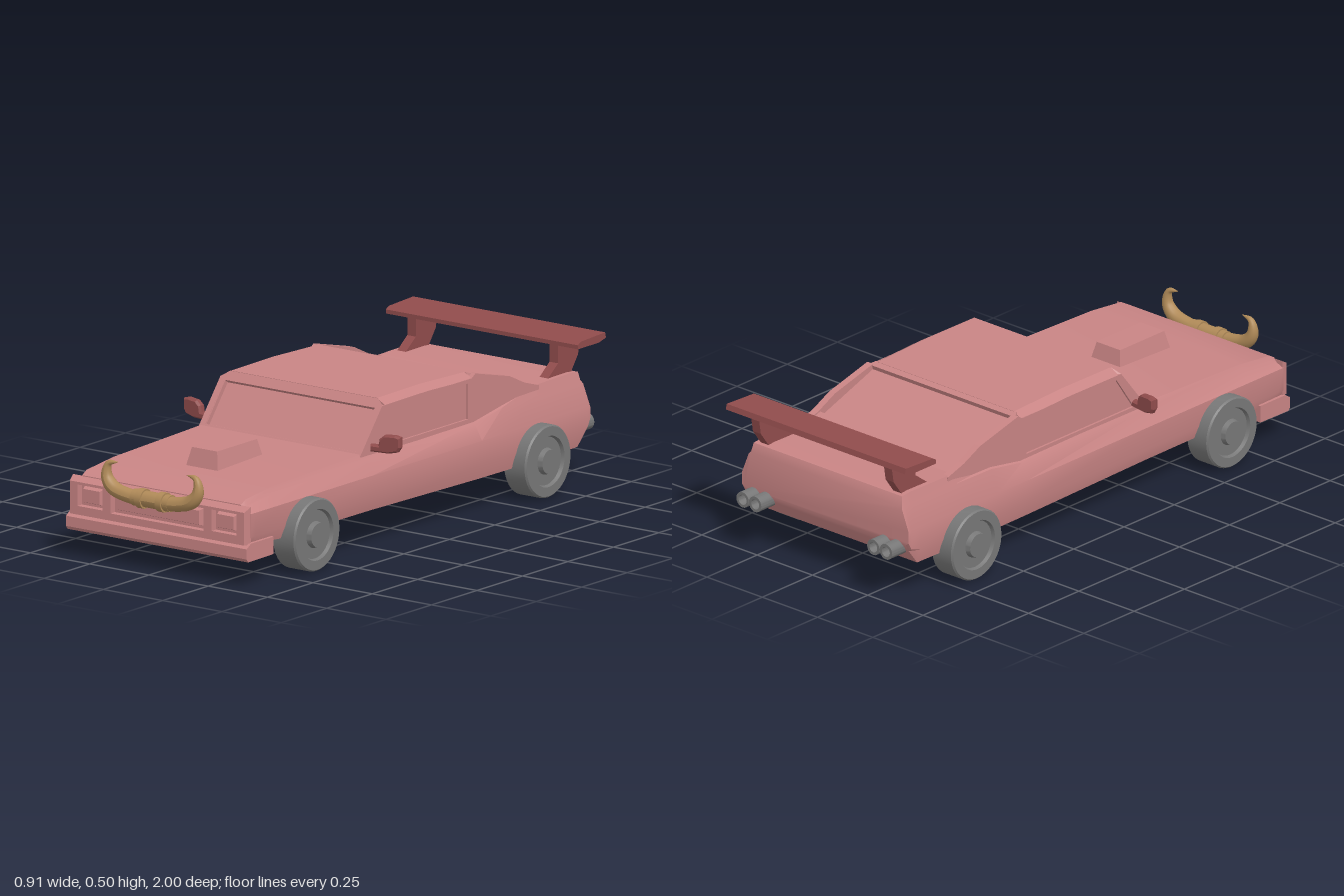
import * as THREE from 'three';
import { toCreasedNormals } from 'three/addons/utils/BufferGeometryUtils.js';

const mat = (color) => new THREE.MeshStandardMaterial({ color });
const paint = mat(0xc88484), dark = mat(0x904c4c), rubber = mat(0x777777), horn = mat(0xb08a58);

export function createModel() {
  const model = new THREE.Group();
  const car = new THREE.Group();
  car.name = 'car';
  car.position.x = -0.008;
  model.add(car);

  const add = (name, geo, material, parent = car) => {
    const mesh = new THREE.Mesh(geo, material);
    mesh.name = name;
    parent.add(mesh);
    return mesh;
  };

  // Skin over mirrored cross-sections, ordered front to back: [z, [[x, y] from bottom to top]]
  const loft = (stations, crease = 0.5) => {
    const pos = [], idx = [];
    const n = stations[0][1].length * 2;
    for (const [z, half] of stations) {
      const ring = [...half, ...half.map(([x, y]) => [-x, y]).reverse()];
      for (const [x, y] of ring) pos.push(x, y, z);
    }
    const last = (stations.length - 1) * n;
    for (let i = 0; i < last; i += n)
      for (let j = 0; j < n; j++) {
        const k = (j + 1) % n;
        idx.push(i + j, i + n + j, i + n + k, i + j, i + n + k, i + k);
      }
    for (let j = 1; j < n - 1; j++) idx.push(0, j, j + 1, last, last + j + 1, last + j);
    const g = new THREE.BufferGeometry();
    g.setAttribute('position', new THREE.Float32BufferAttribute(pos, 3));
    g.setIndex(idx);
    return toCreasedNormals(g, crease);
  };

  const outline = (pts, holes = []) => {
    const s = new THREE.Shape(pts.map(([x, y]) => new THREE.Vector2(x, y)));
    for (const h of holes) s.holes.push(new THREE.Path(h.map(([x, y]) => new THREE.Vector2(x, y))));
    return s;
  };
  const extrude = (shape, depth) => new THREE.ExtrudeGeometry(shape, { depth, bevelEnabled: false });
  // Side profile of [z, y] points spread across x
  const across = (pts, width, x = 0, holes = []) =>
    extrude(outline(pts, holes), width).translate(0, 0, -width / 2).rotateY(-Math.PI / 2).translate(x, 0, 0);
  const rect = (x0, x1, y0, y1) => [[x0, y0], [x1, y0], [x1, y1], [x0, y1]];

  // Main body: z, bottom, shoulder, top
  add('body', loft([
    [0.92, 0.145, 0.262, 0.276], [0.895, 0.14, 0.272, 0.29], [0.75, 0.13, 0.285, 0.305],
    [0.25, 0.128, 0.3, 0.32], [-0.35, 0.118, 0.305, 0.315], [-0.5, 0.117, 0.33, 0.34],
    [-0.68, 0.117, 0.333, 0.367], [-0.89, 0.12, 0.332, 0.37], [-0.932, 0.175, 0.332, 0.366],
    [-0.945, 0.2, 0.325, 0.335],
  ].map(([z, b, s, t]) => [z, [[0.365, b], [0.377, Math.max(0.17, b + 0.01)],
    [0.377, 0.25], [0.347, s], [0.335, t]]])), paint);

  // Front panel with openings for grille and lamps, its top leaning back into the bonnet
  const lamp = (s) => rect(s * 0.23, s * 0.335, 0.175, 0.249);
  const nose = extrude(outline(rect(-0.375, 0.375, 0.145, 0.258),
    [rect(-0.197, 0.197, 0.17, 0.249), lamp(1), lamp(-1)]), 0.027);
  const np = nose.attributes.position;
  for (let i = 0; i < np.count; i++) {
    if (np.getY(i) > 0.255 && np.getZ(i) < 0.01) np.setY(i, 0.274);
    if (Math.abs(np.getX(i)) > 0.36 && np.getZ(i) > 0.01) np.setX(i, np.getX(i) * 0.98);
  }
  nose.translate(0, 0, 0.918);
  nose.computeVertexNormals();
  add('frontPanel', nose, paint);

  // Raised pads inside the openings
  const pad = (w, y0, y1) => loft([[0.937, [[w - 0.01, y0 + 0.008], [w - 0.01, y1 - 0.008]]],
    [0.915, [[w, y0], [w, y1]]]], 0.2);
  add('grille', pad(0.18, 0.178, 0.242), paint);
  for (const s of [-1, 1]) add('headlight', pad(0.044, 0.182, 0.243), paint).position.x = s * 0.2825;

  add('frontBumper', across([[0.8, 0.09], [0.94, 0.088], [0.949, 0.1], [0.949, 0.135], [0.925, 0.15],
    [0.8, 0.15]], 0.762), paint);

  // Bonnet scoop
  const scoop = new THREE.BoxGeometry(0.138, 0.075, 0.255);
  const sp = scoop.attributes.position;
  for (let i = 0; i < sp.count; i++)
    if (sp.getY(i) > 0) { sp.setX(i, sp.getX(i) * 0.77); sp.setZ(i, sp.getZ(i) * 0.86); }
  scoop.computeVertexNormals();
  add('bonnetScoop', scoop, paint).position.set(-0.003, 0.331, 0.57);

  // Cabin: glass core, roof, pillars with side windows, front and rear window frames
  add('windows', loft([[0.25, 0.315], [0.13, 0.465], [-0.34, 0.463], [-0.67, 0.35]]
    .map(([z, t]) => [z, [[0.333, 0.3], [0.333, t - 0.012], [0.32, t]]]), 0.2), paint);
  add('roof', loft([[0.137, 0.485], [-0.1, 0.487], [-0.345, 0.479]]
    .map(([z, t]) => [z, [[0.341, 0.455], [0.341, t - 0.02], [0.308, t]]]), 0.2), paint);
  const pillar = [[0.27, 0.315], [0.152, 0.465], [-0.34, 0.462], [-0.36, 0.475], [-0.55, 0.428],
    [-0.63, 0.39], [-0.71, 0.365], [-0.71, 0.305], [0.27, 0.305]];
  const sideWindow = [[0.215, 0.325], [0.13, 0.448], [-0.32, 0.448], [-0.32, 0.325]];
  for (const s of [-1, 1]) add('cabinSide', across(pillar, 0.026, s * 0.328, [sideWindow]), paint);

  // Sloped plate with an opening; z counts towards the direction it faces
  const windowFrame = (name, z0, y0, z1, y1, wTop, low, high, turn) => {
    const L = Math.hypot(z1 - z0, y1 - y0);
    const g = extrude(outline([[-0.341, 0], [0.341, 0], [0.341, L * 0.88], [wTop, L], [-wTop, L],
      [-0.341, L * 0.88]], [rect(-0.318, 0.318, L * low, L * high)]), 0.022);
    g.translate(0, 0, -0.022).rotateX(Math.asin((z1 - z0) / L)).translate(0, y0, z0).rotateY(turn);
    add(name, g, paint);
  };
  windowFrame('windscreenFrame', 0.272, 0.315, 0.136, 0.485, 0.31, 0.06, 0.83, 0);
  windowFrame('rearWindowFrame', 0.69, 0.364, 0.342, 0.479, 0.318, 0.19, 0.93, Math.PI);

  // Wheels, axis turned to point outwards
  const tyre = [[0, -0.05], [0.12, -0.05], [0.125, -0.045], [0.125, 0.04], [0.12, 0.046], [0.088, 0.046],
    [0.083, 0.034], [0.046, 0.034], [0.041, 0.051], [0, 0.051]].map(([r, y]) => new THREE.Vector2(r, y));
  const wheelGeo = toCreasedNormals(new THREE.LatheGeometry(tyre, 40), 0.6);
  for (const s of [-1, 1])
    for (const [name, z] of [['frontWheel', 0.615], ['rearWheel', -0.655]]) {
      const w = add(name, wheelGeo, rubber);
      w.position.set(s * 0.378, 0.125, z);
      w.rotation.z = -s * Math.PI / 2;
    }

  // Rear wing on two struts
  add('wing', across([[-0.835, 0.474], [-0.95, 0.474], [-0.99, 0.484], [-0.985, 0.503], [-0.85, 0.497],
    [-0.835, 0.488]], 0.81, 0.004), dark);
  const strut = [[-0.785, 0.365], [-0.845, 0.41], [-0.845, 0.48], [-0.965, 0.48], [-0.955, 0.42],
    [-0.915, 0.365]];
  for (const s of [-1, 1]) add('wingStrut', across(strut, 0.036, s * 0.3), dark);

  // Door mirrors
  const pod = outline([[0.34, 0.325], [0.41, 0.325], [0.445, 0.333], [0.456, 0.35], [0.456, 0.385],
    [0.435, 0.39], [0.395, 0.387], [0.376, 0.372], [0.372, 0.35], [0.34, 0.35]]);
  for (const s of [-1, 1]) {
    const g = new THREE.ExtrudeGeometry(pod, { depth: 0.012, bevelThickness: 0.008, bevelSize: 0.006,
      bevelOffset: -0.006, bevelSegments: 1 });
    g.translate(-0.4, 0, -0.006).rotateY(0.15).translate(0.4, 0, 0.212);
    if (s < 0) g.translate(-0.4, 0, -0.212).rotateY(Math.PI - 0.3).translate(-0.4, 0, 0.212);
    add('doorMirror', g, dark).position.x = 0.007;
  }

  // Twin hollow exhaust pipes on each side
  const pipe = [[0.018, 0], [0.018, 0.09], [0.028, 0.09], [0.028, 0]].map(([r, y]) => new THREE.Vector2(r, y));
  const pipeGeo = toCreasedNormals(new THREE.LatheGeometry(pipe.reverse(), 20), 0.6);
  for (const x of [-0.324, -0.267, 0.267, 0.324]) {
    const p = add('exhaustPipe', pipeGeo, rubber);
    p.material = p.material.clone();
    p.material.side = THREE.DoubleSide;
    p.rotation.x = -Math.PI / 2;
    p.position.set(x, 0.182, -0.91);
  }

  // Bull horns: a tube tapering to both tips
  const arm = [[0.145, 0.36], [0.185, 0.35], [0.192, 0.305], [0.165, 0.27], [0.1, 0.252]];
  const path = new THREE.CatmullRomCurve3([...arm.map(([x, y]) => [-x, y]), [0, 0.25], ...arm.reverse()]
    .map(([x, y]) => new THREE.Vector3(x, y, 0.97)));
  const segs = 72, radial = 14;
  const tube = new THREE.TubeGeometry(path, segs, 0.025, radial);
  const tp = tube.attributes.position, v = new THREE.Vector3();
  for (let i = 0; i < tp.count; i++) {
    const t = Math.floor(i / (radial + 1)) / segs;
    const e = Math.max(0, (Math.abs(2 * t - 1) - 0.55) / 0.45);
    const c = path.getPointAt(t);
    v.fromBufferAttribute(tp, i).sub(c).multiplyScalar(1 - 0.96 * e ** 1.5).add(c);
    tp.setXYZ(i, v.x, v.y, v.z);
  }
  tube.computeVertexNormals();
  add('horns', tube, horn);
  for (const [x, r, w] of [[0.043, 0.034, 0.024], [0.067, 0.029, 0.022], [0, 0.028, 0.07]])
    for (const s of x ? [-1, 1] : [1]) {
      const band = add('hornBand', new THREE.CylinderGeometry(r, r, w, 20), horn);
      band.rotation.z = Math.PI / 2;
      band.position.set(s * x, 0.25, 0.966);
    }
  return model;
}
